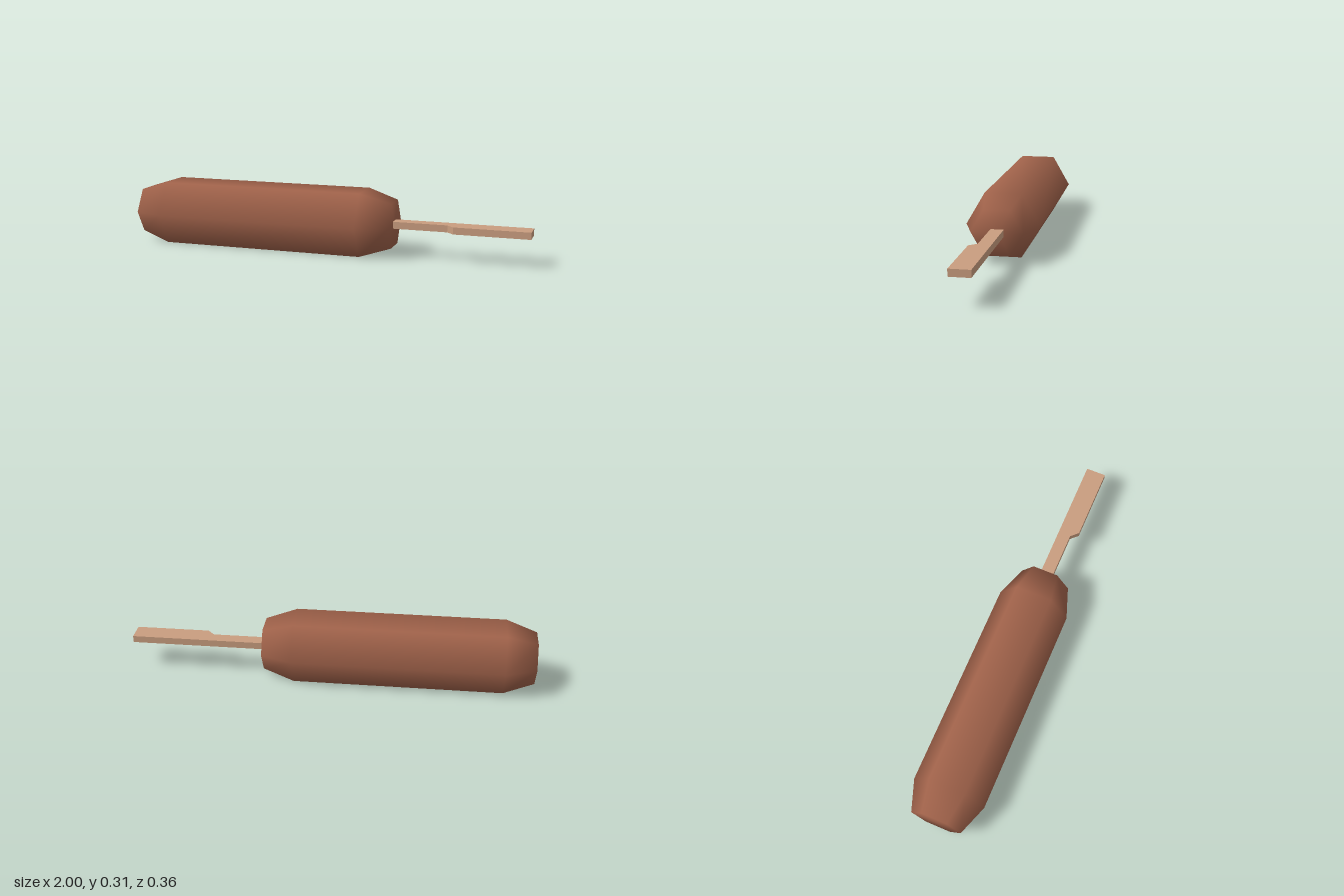
import * as THREE from 'three';

export function createModel() {
  const group = new THREE.Group();
  const bodyMaterial = new THREE.MeshStandardMaterial({ color: 0xa0624a });
  bodyMaterial.name = 'reddish brown';
  const stickMaterial = new THREE.MeshStandardMaterial({ color: 0xc99d7f });
  stickMaterial.name = 'light wood';

  // Six-sided, smoothly shaded body with tapered ends, lying along x
  const profile = [
    [0, -1], [0.126, -1], [0.18, -0.85], [0.18, 0.18], [0.126, 0.333], [0, 0.333],
  ].map(([r, x]) => new THREE.Vector2(r, x));
  const bodyGeometry = new THREE.LatheGeometry(profile, 6);
  bodyGeometry.rotateZ(-Math.PI / 2);
  const body = new THREE.Mesh(bodyGeometry, bodyMaterial);
  body.name = 'body';
  body.position.y = 0.156;
  group.add(body);

  // Flat stick that widens on one side; outline in x and z
  const outline = [
    [0.3, -0.033], [1, -0.033], [1, 0.066], [0.635, 0.066], [0.6, 0.03], [0.3, 0.03],
  ].map(([x, z]) => new THREE.Vector2(x, z));
  const stickGeometry = new THREE.ExtrudeGeometry(new THREE.Shape(outline), {
    depth: 0.034,
    bevelEnabled: false,
  });
  stickGeometry.rotateX(Math.PI / 2);
  const stick = new THREE.Mesh(stickGeometry, stickMaterial);
  stick.name = 'stick';
  stick.position.y = 0.173;
  group.add(stick);

  return group;
}
